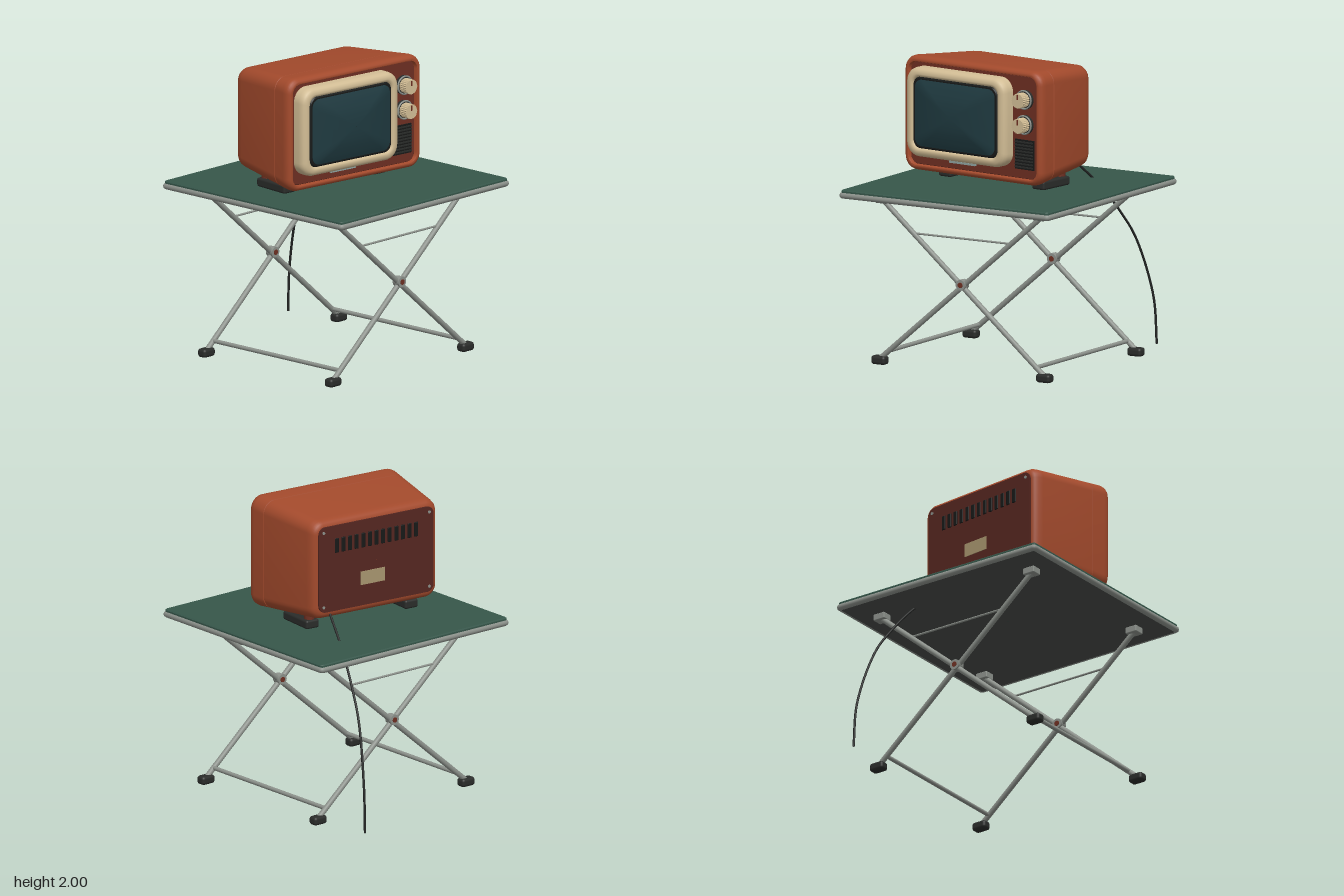
import * as THREE from 'three';
import { toCreasedNormals } from 'three/addons/utils/BufferGeometryUtils.js';
import { RoundedBoxGeometry } from 'three/addons/geometries/RoundedBoxGeometry.js';

const mat = (color, extra = {}) => new THREE.MeshStandardMaterial({ color, ...extra });
const M = {
  orange: mat(0xa34a2c), fascia: mat(0x6e2f22), back: mat(0x552620), cream: mat(0xd2bd95),
  glass: mat(0x1f3a40), green: mat(0x36564a), metal: mat(0x8c918b), dark: mat(0x2a2c2a),
  under: mat(0x484a48), black: mat(0x171918), badge: mat(0x8fa3a0), label: mat(0xa8966f),
};

function add(parent, name, geo, material, x = 0, y = 0, z = 0) {
  const mesh = new THREE.Mesh(geo, material);
  mesh.name = name;
  mesh.position.set(x, y, z);
  parent.add(mesh);
  return mesh;
}

const box = (w, h, d, r) => r ? new RoundedBoxGeometry(w, h, d, 3, r) : new THREE.BoxGeometry(w, h, d);

// Cylinder running between two points
function rod(parent, name, a, b, r, material) {
  const A = new THREE.Vector3(...a), B = new THREE.Vector3(...b);
  const mesh = add(parent, name, new THREE.CylinderGeometry(r, r, A.distanceTo(B), 16), material);
  mesh.position.copy(A).add(B).multiplyScalar(0.5);
  mesh.quaternion.setFromUnitVectors(new THREE.Vector3(0, 1, 0), B.sub(A).normalize());
  return mesh;
}

// Skin through rounded-rectangle rings [z, halfWidth, halfHeight, cornerRadius], front to back
function loft(rings, crease = 0.6) {
  const SEG = 8, N = 4 * (SEG + 1), pos = [], idx = [];
  for (const [z, hw, hh, r] of rings) {
    for (let q = 0; q < 4; q++) {
      const cx = (q === 0 || q === 3 ? 1 : -1) * (hw - r), cy = (q < 2 ? 1 : -1) * (hh - r);
      for (let s = 0; s <= SEG; s++) {
        const a = (q + s / SEG) * Math.PI / 2;
        pos.push(cx + r * Math.cos(a), cy + r * Math.sin(a), z);
      }
    }
  }
  for (let i = 0; i < rings.length - 1; i++) {
    for (let j = 0; j < N; j++) {
      const a = i * N + j, b = i * N + (j + 1) % N, c = a + N, d = b + N;
      idx.push(a, c, b, b, c, d);
    }
  }
  const g = new THREE.BufferGeometry();
  g.setAttribute('position', new THREE.Float32BufferAttribute(pos, 3));
  g.setIndex(idx);
  g.computeVertexNormals();
  return toCreasedNormals(g, crease);
}

// Flat rounded plate: front cap, side wall, back cap
const plate = (hw, hh, r, z0, z1, bevel = 0.004) => loft([
  [z1, 0.002, 0.002, 0.001], [z1, hw - bevel, hh - bevel, r - bevel], [z1 - bevel, hw, hh, r],
  [z0, hw, hh, r], [z0, 0.002, 0.002, 0.001]]);

function createTable() {
  const table = new THREE.Group();
  table.name = 'foldingTable';
  table.position.z = 0.07;

  // Top: metal edge, green panel and underside board
  const flat = (name, geo, m, y) => { add(table, name, geo, m, 0, y, 0).rotation.x = -Math.PI / 2; };
  flat('tableEdge', loft([
    [0.02, 0.78, 0.78, 0.012], [0.02, 0.795, 0.795, 0.02], [0.012, 0.805, 0.805, 0.026], [0, 0.808, 0.808, 0.028],
    [-0.012, 0.805, 0.805, 0.026], [-0.02, 0.795, 0.795, 0.02], [-0.02, 0.78, 0.78, 0.012]], 1.2), M.metal, 1.141);
  flat('greenTop', plate(0.797, 0.797, 0.02, 0, 0.022, 0.007), M.green, 1.155);
  flat('underside', plate(0.785, 0.785, 0.015, 0, 0.03), M.under, 1.122);

  for (const s of [1, -1]) {
    const z = s * 0.567;
    // Crossed legs with brackets and rubber feet
    for (const m of [1, -1]) {
      rod(table, 'leg', [-m * 0.61, 1.095, z], [m * 0.63, 0.04, z], 0.018, M.metal);
      add(table, 'legBracket', box(0.088, 0.045, 0.075, 0.006), M.metal, m * 0.605, 1.098, z);
      add(table, 'rubberFoot', box(0.108, 0.058, 0.07, 0.02), M.dark, m * 0.633, 0.029, z);
    }
    // Pivot bolt
    rod(table, 'pivotCollar', [0, 0.588, z - 0.027], [0, 0.588, z + 0.027], 0.036, M.metal);
    rod(table, 'pivotBolt', [0, 0.588, z - 0.031], [0, 0.588, z + 0.031], 0.018, M.fascia);
    // Thin stay between the legs, and the long foot bar
    rod(table, 'upperStay', [-0.39, 0.895, z], [0.39, 0.895, z], 0.007, M.metal);
    rod(table, 'footBar', [s * 0.57, 0.094, -0.567], [s * 0.57, 0.094, 0.567], 0.014, M.metal);
  }
  return table;
}

function createKnob() {
  const knob = new THREE.Group();
  knob.name = 'knob';
  rod(knob, 'knobBase', [0, 0, 0.315], [0, 0, 0.345], 0.064, M.dark);
  add(knob, 'knobRing', new THREE.TorusGeometry(0.06, 0.006, 8, 32), M.metal, 0, 0, 0.344);
  // Ribbed grip: alternate radii around the rim
  const grip = new THREE.CylinderGeometry(0.05, 0.05, 0.07, 48);
  const p = grip.attributes.position;
  for (let i = 0; i < p.count; i++) {
    const x = p.getX(i), z = p.getZ(i), k = Math.round(Math.atan2(x, z) / (Math.PI / 24));
    if (k & 1) { p.setX(i, x * 0.93); p.setZ(i, z * 0.93); }
  }
  add(knob, 'knobGrip', toCreasedNormals(grip, 0.2), M.cream, 0, 0, 0.375).rotation.x = Math.PI / 2;
  add(knob, 'knobPointer', box(0.007, 0.034, 0.004), M.fascia, 0, 0.025, 0.411);
  return knob;
}

function createTelevision() {
  const tv = new THREE.Group();
  tv.name = 'television';
  tv.position.set(-0.068, 1.62, 0);
  tv.rotation.y = -0.113;

  // Tapered cabinet with a recessed front, a rounded rim and a shallow seam
  add(tv, 'cabinet', loft([
    [0.315, 0.528, 0.34, 0.06], [0.335, 0.53, 0.342, 0.06], [0.343, 0.534, 0.345, 0.064], [0.345, 0.541, 0.351, 0.068],
    [0.341, 0.553, 0.363, 0.078], [0.33, 0.564, 0.373, 0.086], [0.313, 0.571, 0.379, 0.09], [0.285, 0.572, 0.38, 0.09],
    [0.194, 0.559, 0.372, 0.088], [0.192, 0.555, 0.368, 0.085], [0.188, 0.555, 0.368, 0.085], [0.186, 0.558, 0.371, 0.088],
    [-0.22, 0.497, 0.338, 0.08], [-0.255, 0.49, 0.333, 0.08], [-0.278, 0.476, 0.32, 0.07], [-0.288, 0.458, 0.302, 0.06],
    [-0.29, 0.44, 0.285, 0.05], [-0.29, 0.002, 0.002, 0.001]], 0.75), M.orange);
  add(tv, 'fascia', plate(0.529, 0.341, 0.06, 0.3, 0.32), M.fascia);

  // Cream surround, dark gasket and bulging glass
  const screen = new THREE.Group();
  screen.name = 'screen';
  screen.position.set(-0.092, 0.021, 0);
  tv.add(screen);
  add(screen, 'screenSurround', loft([
    [0.385, 0.345, 0.233, 0.05], [0.405, 0.35, 0.238, 0.055], [0.414, 0.358, 0.245, 0.06], [0.416, 0.37, 0.256, 0.065],
    [0.413, 0.388, 0.273, 0.078], [0.404, 0.402, 0.286, 0.088], [0.388, 0.411, 0.295, 0.094], [0.365, 0.413, 0.297, 0.095],
    [0.315, 0.413, 0.297, 0.095]], 0.9), M.cream);
  add(screen, 'gasket', plate(0.349, 0.237, 0.055, 0.37, 0.411, 0.008), M.black);
  const glass = [];
  for (let i = 0; i <= 10; i++) {
    const s = Math.max(i / 10, 0.005);
    glass.push([0.413 + 0.049 * (1 - s * s), 0.331 * s, 0.221 * s, 0.055 * s]);
  }
  add(screen, 'glass', loft([...glass, [0.39, 0.331, 0.221, 0.055]]), M.glass);

  // Controls
  for (const y of [0.188, 0.021]) {
    const knob = createKnob();
    knob.position.set(0.428, y, 0);
    tv.add(knob);
  }
  add(tv, 'speakerPanel', box(0.155, 0.197, 0.014), M.black, 0.42, -0.18, 0.322);
  for (let i = 0; i < 9; i++) add(tv, 'speakerSlat', box(0.145, 0.009, 0.012), M.dark, 0.42, -0.263 + i * 0.0208, 0.331);
  add(tv, 'frontStrip', box(0.217, 0.014, 0.02), M.badge, -0.093, -0.294, 0.325);

  // Back panel with vents, label and screws
  add(tv, 'backPanel', plate(0.45, 0.292, 0.05, -0.3, -0.28), M.back, 0, 0.005, 0);
  for (let i = 0; i < 13; i++) add(tv, 'ventSlot', box(0.03, 0.1, 0.012, 0.005), M.black, (i - 6) * 0.052, 0.16, -0.3);
  add(tv, 'backLabel', box(0.19, 0.092, 0.006), M.label, 0.03, -0.1, -0.301);
  for (const x of [-0.415, 0.415]) {
    for (const y of [-0.25, 0.26]) rod(tv, 'screw', [x, y, -0.295], [x, y, -0.305], 0.01, M.metal);
  }

  // Long rubber feet on short spacers
  for (const x of [-0.39, 0.388]) {
    add(tv, 'televisionFoot', box(0.102, 0.06, 0.28, 0.015), M.dark, x, -0.413, 0.005);
    for (const z of [-0.09, 0.1]) rod(tv, 'footSpacer', [x, -0.4, z], [x, -0.34, z], 0.035, M.fascia);
  }
  return tv;
}

export function createModel() {
  const model = new THREE.Group();
  model.name = 'televisionOnFoldingTable';
  model.add(createTable(), createTelevision());

  // Power cable drooping from the back to the floor
  const path = new THREE.CatmullRomCurve3([
    [0.312, 1.315, -0.235], [0.385, 1.115, -0.455], [0.442, 0.92, -0.615], [0.487, 0.73, -0.735],
    [0.545, 0.335, -0.855], [0.556, 0.015, -0.88]].map(p => new THREE.Vector3(...p)));
  add(model, 'powerCable', new THREE.TubeGeometry(path, 48, 0.008, 10), mat(0x222423, { side: THREE.DoubleSide }));
  return model;
}
